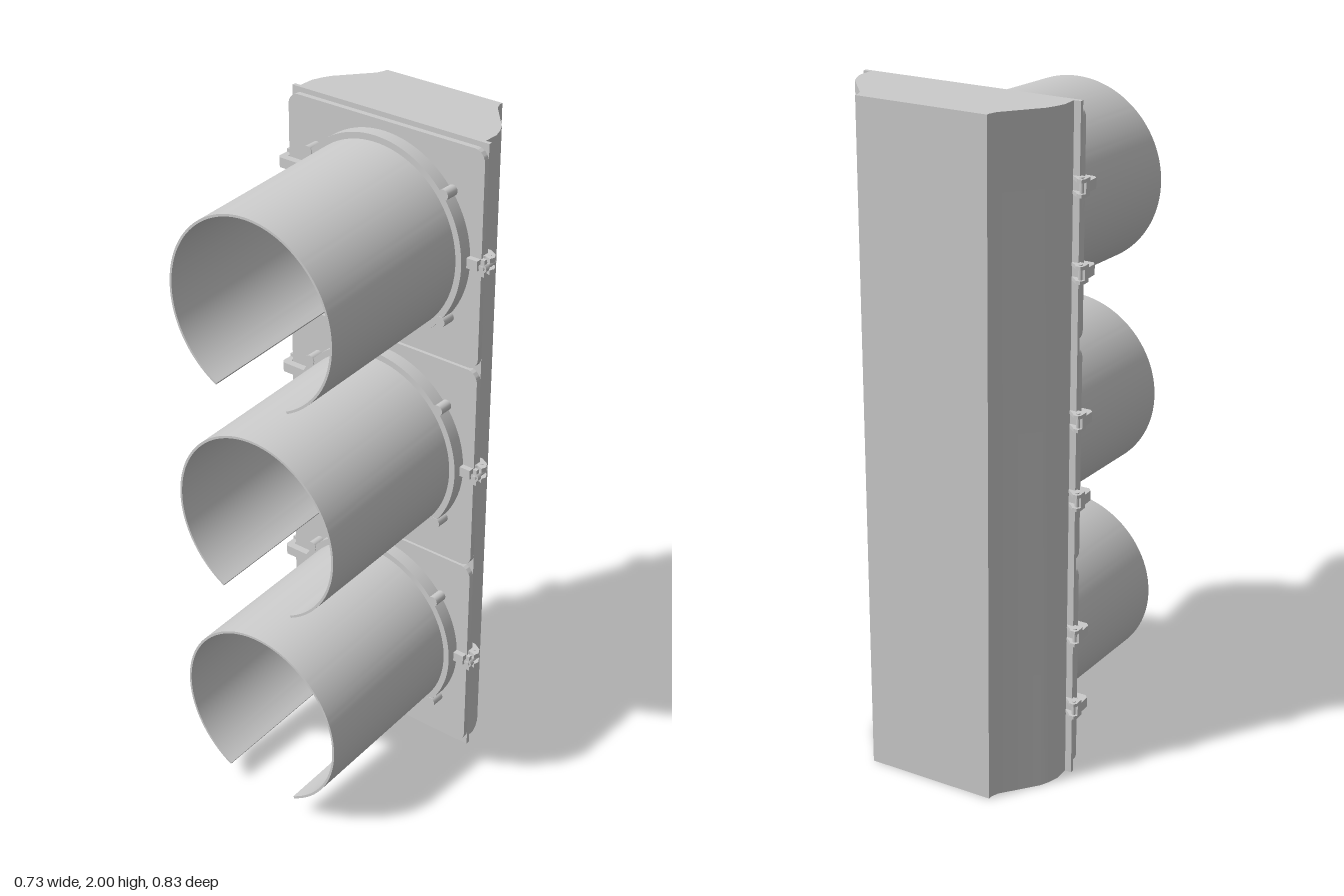
import * as THREE from 'three';
import { toCreasedNormals } from 'three/addons/utils/BufferGeometryUtils.js';

const material = new THREE.MeshStandardMaterial({ color: 0xcccccc, side: THREE.DoubleSide });
const CX = -0.005; // centre line of the housing

function add(parent, name, geometry, x = 0, y = 0, z = 0) {
  const mesh = new THREE.Mesh(geometry, material);
  mesh.name = name;
  mesh.position.set(x, y, z);
  parent.add(mesh);
  return mesh;
}

function extrude(shape, depth, crease = 0.6, curveSegments = 24) {
  const geo = new THREE.ExtrudeGeometry(shape, { depth, bevelEnabled: false, curveSegments });
  return toCreasedNormals(geo, crease);
}

// Plan outline given as [x, z], extruded upwards and centred on y = 0
function extrudePlan(points, height, crease = 0.6) {
  const shape = new THREE.Shape(points.map(([x, z]) => new THREE.Vector2(x, -z)));
  return extrude(shape, height, crease).rotateX(-Math.PI / 2).translate(0, -height / 2, 0);
}

function roundedRect(w, h, r) {
  const s = new THREE.Shape();
  s.absarc(w - r, h - r, r, 0, Math.PI / 2);
  s.absarc(-w + r, h - r, r, Math.PI / 2, Math.PI);
  s.absarc(-w + r, -h + r, r, Math.PI, Math.PI * 1.5);
  s.absarc(w - r, -h + r, r, Math.PI * 1.5, Math.PI * 2);
  s.closePath();
  return s;
}

function circleHole(shape, r) {
  const hole = new THREE.Path();
  hole.absarc(0, 0, r, 0, Math.PI * 2, true);
  shape.holes.push(hole);
  return shape;
}

// Cylinder along z from z0 to z1
function rod(r, z0, z1, sides = 16) {
  return new THREE.CylinderGeometry(r, r, z1 - z0, sides).rotateX(Math.PI / 2).translate(0, 0, (z0 + z1) / 2);
}

// Thin tube, open at the bottom and drooping towards the front
function visorGeometry() {
  const outer = 0.278, inner = 0.271, gap = 0.465;
  const start = -Math.PI / 2 + gap, end = Math.PI * 1.5 - gap;
  const s = new THREE.Shape();
  s.absarc(0, 0, outer, start, end, false);
  s.absarc(0, 0, inner, end, start, true);
  s.closePath();
  const geo = new THREE.ExtrudeGeometry(s, { depth: 0.537, bevelEnabled: false, curveSegments: 72 });
  const p = geo.attributes.position;
  for (let i = 0; i < p.count; i++) p.setY(i, p.getY(i) - 0.062 * p.getZ(i));
  return toCreasedNormals(geo, 0.6);
}

// Hinge: hooked arm, knuckle and pin
function addHinge(parent, y) {
  const hinge = new THREE.Group();
  hinge.name = 'hinge';
  hinge.position.y = y;
  parent.add(hinge);
  add(hinge, 'hingeArm', extrudePlan([
    [-0.36, -0.19], [-0.34, -0.19], [-0.34, -0.15], [-0.27, -0.15],
    [-0.27, -0.125], [-0.35, -0.125], [-0.36, -0.135],
  ], 0.03));
  for (const s of [-1, 1]) {
    add(hinge, 'hingeLug', extrudePlan([
      [-0.36, -0.195], [-0.354, -0.204], [-0.34, -0.204], [-0.333, -0.195],
      [-0.315, -0.18], [-0.315, -0.168], [-0.36, -0.168],
    ], 0.01), 0, s * 0.02);
  }
  add(hinge, 'hingePin', new THREE.CylinderGeometry(0.006, 0.006, 0.056, 12), -0.347, 0, -0.19);
}

// Latch: forked ears on the housing, swinging bolt and wing nut
function addLatch(parent) {
  const latch = new THREE.Group();
  latch.name = 'latch';
  parent.add(latch);
  for (const s of [-1, 1]) {
    add(latch, 'latchEar', extrudePlan([
      [0.305, -0.197], [0.33, -0.197], [0.356, -0.182], [0.365, -0.165], [0.36, -0.15],
      [0.34, -0.157], [0.325, -0.148], [0.29, -0.148], [0.29, -0.17],
    ], 0.014), 0, s * 0.017);
  }
  add(latch, 'latchPin', new THREE.CylinderGeometry(0.006, 0.006, 0.05, 12), 0.345, 0, -0.172);
  add(latch, 'latchBolt', rod(0.007, -0.185, -0.125, 12), 0.35);
  add(latch, 'wingNut', rod(0.013, -0.145, -0.13, 12), 0.35);
  for (const s of [-1, 1]) {
    add(latch, 'wing', new THREE.BoxGeometry(0.012, 0.014, 0.012), 0.35, s * 0.018, -0.136);
  }
  add(latch, 'latchTab', new THREE.BoxGeometry(0.05, 0.03, 0.018), 0.307, 0, -0.14);
}

function addSignal(parent, y) {
  const signal = new THREE.Group();
  signal.name = 'signalUnit';
  signal.position.set(CX, y, 0);
  parent.add(signal);

  add(signal, 'door', extrude(circleHole(roundedRect(0.334, 0.326, 0.035), 0.26), 0.017), 0, 0, -0.165);

  const ring = new THREE.Shape();
  ring.absarc(0, 0, 0.297, 0, Math.PI * 2, false);
  add(signal, 'visorRing', extrude(circleHole(ring, 0.268), 0.042, 0.6, 64), 0, 0, -0.149);

  // Domed lens, a spherical cap
  const r = 0.268, h = 0.1, R = (r * r + h * h) / (2 * h);
  const cap = new THREE.SphereGeometry(R, 64, 16, 0, Math.PI * 2, 0, Math.asin(r / R));
  add(signal, 'lens', cap.rotateX(Math.PI / 2), 0, 0, -0.145 + h - R);

  add(signal, 'visor', visorGeometry(), 0, 0.001, -0.12);

  for (const sx of [-1, 1]) for (const sy of [-1, 1]) {
    add(signal, 'screwBoss', rod(0.016, -0.15, -0.105), sx * 0.233, sy * 0.189);
  }
  for (const s of [-1, 1]) addHinge(signal, s * 0.118);
  addLatch(signal);
}

export function createModel() {
  const model = new THREE.Group();
  model.name = 'trafficLight';

  // Housing: one tapered section running the full height
  const half = [
    [0.198, -0.417], [0.198, -0.406], [0.207, -0.382], [0.29, -0.283],
    [0.304, -0.255], [0.314, -0.225], [0.314, -0.17],
  ];
  const outline = [...half, ...half.map(([x, z]) => [-x, z]).reverse()];
  add(model, 'housing', extrudePlan(outline, 2, 0.75), CX, 1, 0);
  add(model, 'housingFlange', new THREE.BoxGeometry(0.668, 2, 0.012), CX, 1, -0.171);

  for (let i = -1; i <= 1; i++) addSignal(model, 1 + i * 0.659);
  return model;
}
